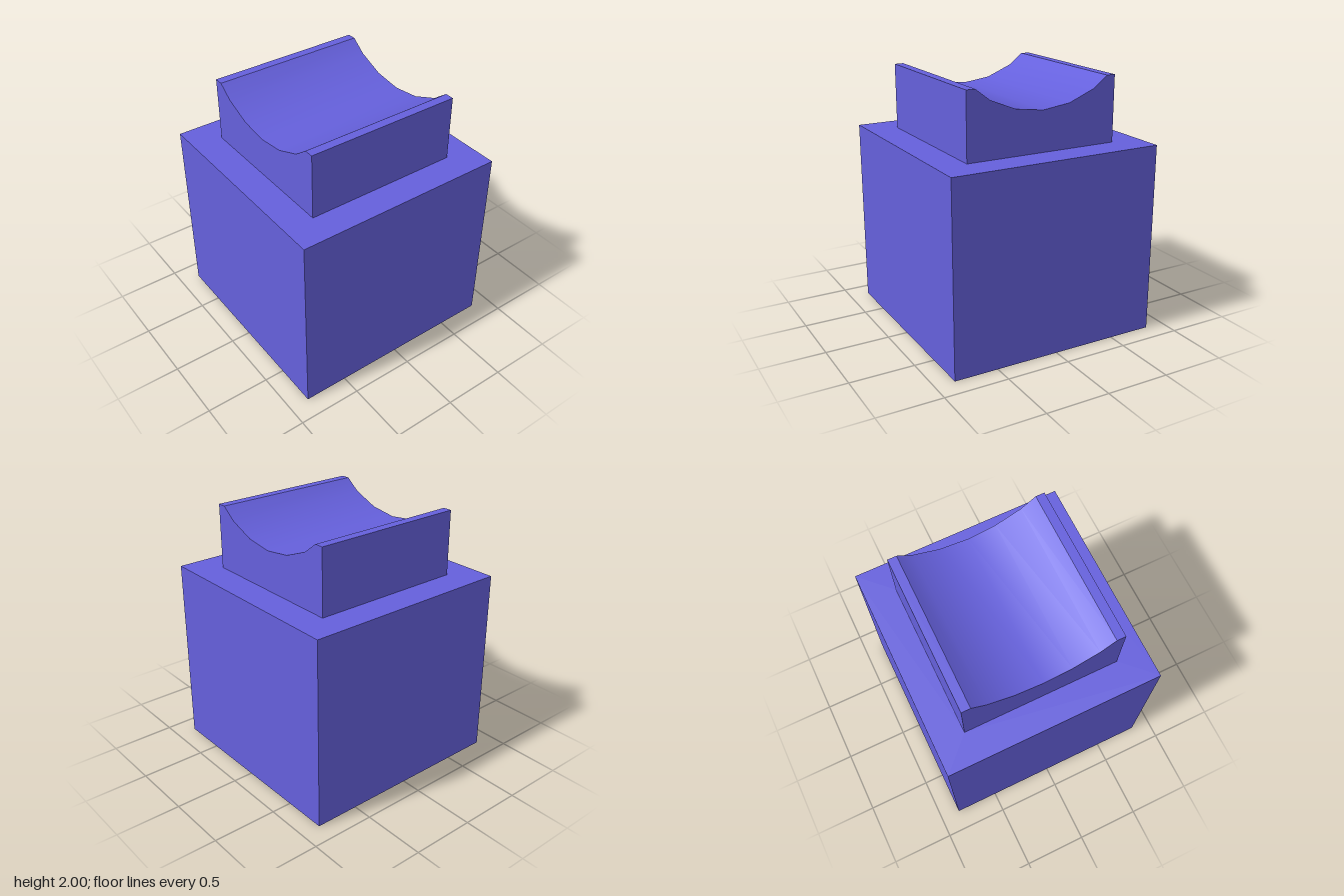
import * as THREE from 'three';

export function createModel() {
  const model = new THREE.Group();
  const violet = new THREE.MeshStandardMaterial({ color: 0x6560dc, side: THREE.DoubleSide });
  violet.name = 'violet';

  const baseHalf = 0.845, baseTop = 1.49, neckHalf = 0.61, top = 2;
  // Saddle cross-section as [z, y], from back to front
  const half = [[0.54, top], [0.425, 1.912], [0.22, 1.829]];
  const saddle = [...half.map(([z, y]) => [-z, y]), [0, 1.8], ...half.slice().reverse()];

  const add = (name, geometry, parent) => {
    const mesh = new THREE.Mesh(geometry, violet);
    mesh.name = name;
    parent.add(mesh);
    return mesh;
  };
  const square = (Type, h) => new Type([[-h, -h], [h, -h], [h, h], [-h, h]].map(([x, y]) => new THREE.Vector2(x, y)));

  // Hollow base: four walls, open underneath
  const base = new THREE.Group();
  base.name = 'base';
  model.add(base);
  for (let i = 0; i < 4; i++) {
    add('baseWall', new THREE.PlaneGeometry(2 * baseHalf, baseTop)
      .translate(0, baseTop / 2, baseHalf).rotateY(i * Math.PI / 2), base);
  }

  // Flat shoulder around the neck
  const ring = square(THREE.Shape, baseHalf);
  ring.holes.push(square(THREE.Path, neckHalf));
  add('shoulder', new THREE.ShapeGeometry(ring).rotateX(-Math.PI / 2).translate(0, baseTop, 0), base);

  // Neck with a cradle cut across its top
  const neck = new THREE.Group();
  neck.name = 'neck';
  model.add(neck);
  const outline = [[-neckHalf, baseTop], [neckHalf, baseTop], [neckHalf, top], ...saddle.slice().reverse(), [-neckHalf, top]];
  const endShape = new THREE.Shape(outline.map(([z, y]) => new THREE.Vector2(z, y)));
  const lip = neckHalf - half[0][0];
  for (const turn of [0, Math.PI]) {
    add('neckWall', new THREE.PlaneGeometry(2 * neckHalf, top - baseTop)
      .translate(0, (top + baseTop) / 2, neckHalf).rotateY(turn), neck);
    add('neckEnd', new THREE.ShapeGeometry(endShape)
      .translate(0, 0, neckHalf).rotateY(turn + Math.PI / 2), neck);
    add('lip', new THREE.PlaneGeometry(2 * neckHalf, lip).rotateX(-Math.PI / 2)
      .translate(0, top, neckHalf - lip / 2).rotateY(turn), neck);
  }

  // Smooth curved cradle: bend a strip along the cross-section
  const cradle = new THREE.PlaneGeometry(2 * neckHalf, 1, 1, saddle.length - 1).rotateX(-Math.PI / 2);
  const pos = cradle.attributes.position;
  for (let i = 0; i < pos.count; i++) {
    const [z, y] = saddle[Math.floor(i / 2)];
    pos.setY(i, y).setZ(i, z);
  }
  cradle.computeVertexNormals();
  add('cradle', cradle, neck);

  return model;
}
